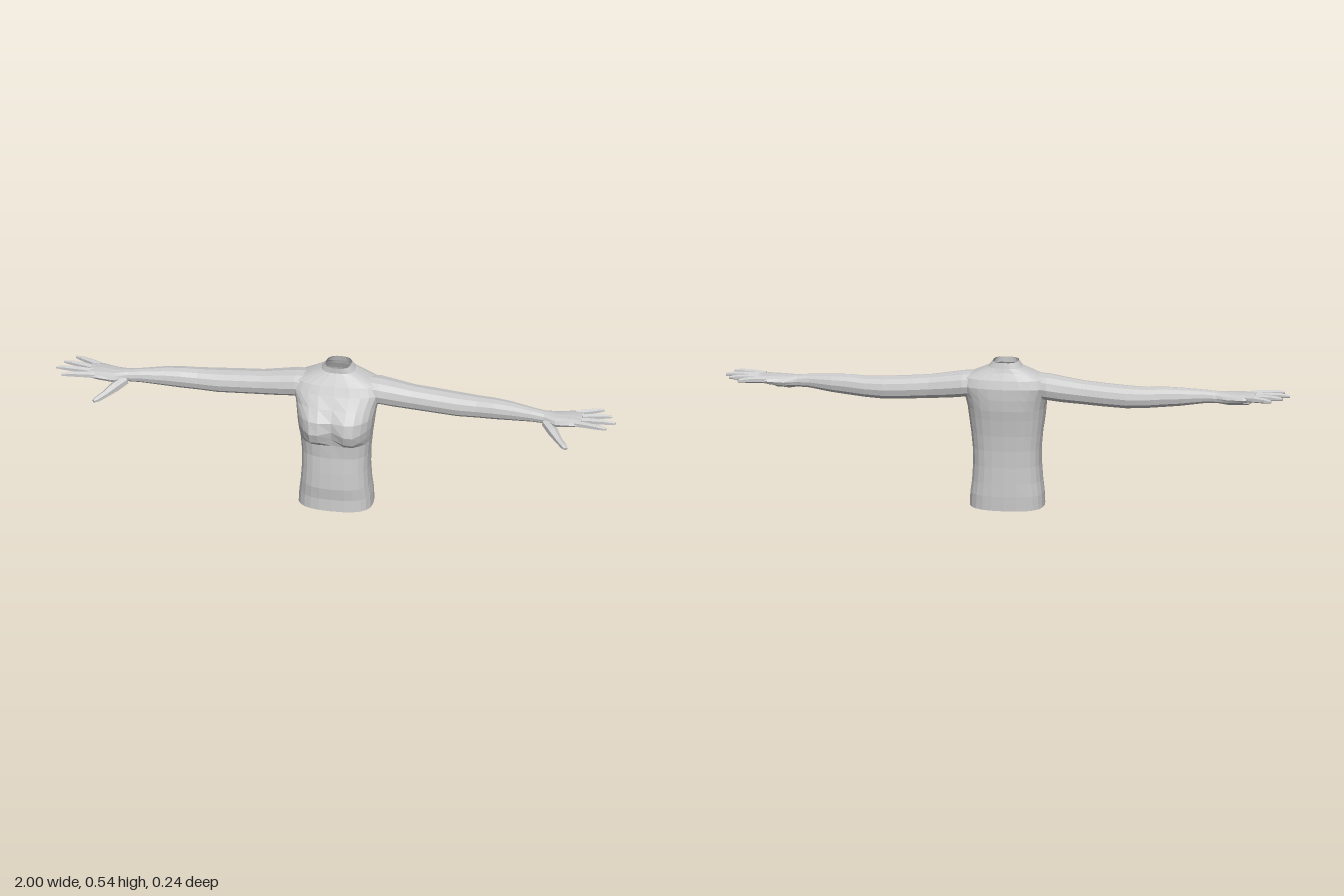
import * as THREE from 'three';

const plaster = new THREE.MeshStandardMaterial({ color: 0xcacaca, side: THREE.DoubleSide });
plaster.name = 'plain grey';

// Faceted skin through a list of rings, with optional fan at the far end
function loft(rings, capEnd) {
  const n = rings[0].length, pos = [], idx = [];
  rings.forEach(r => r.forEach(p => pos.push(p.x, p.y, p.z)));
  for (let i = 0; i < rings.length - 1; i++) {
    for (let j = 0; j < n; j++) {
      const a = i * n + j, b = i * n + (j + 1) % n, c = b + n, d = a + n;
      idx.push(a, d, c, a, c, b);
    }
  }
  if (capEnd) {
    const last = rings[rings.length - 1], o = (rings.length - 1) * n;
    const mid = last.reduce((s, p) => s.add(p), new THREE.Vector3()).divideScalar(n);
    pos.push(mid.x, mid.y, mid.z);
    for (let j = 0; j < n; j++) idx.push(o + j, rings.length * n, o + (j + 1) % n);
  }
  const g = new THREE.BufferGeometry();
  g.setAttribute('position', new THREE.Float32BufferAttribute(pos, 3));
  g.setIndex(idx);
  const flat = g.toNonIndexed();
  flat.computeVertexNormals();
  return flat;
}

function part(name, geometry) {
  const m = new THREE.Mesh(geometry, plaster);
  m.name = name;
  return m;
}

const spow = (v, e) => Math.sign(v) * Math.pow(Math.abs(v), e);

// Torso rings: height, half width, front z, back z, bust depth, bust drop
const TORSO = [
  [0.007, 0.132, 0.088, -0.100, 0, 0],
  [0.055, 0.130, 0.085, -0.101, 0, 0],
  [0.100, 0.124, 0.090, -0.100, 0, 0],
  [0.160, 0.120, 0.086, -0.099, 0, 0],
  [0.220, 0.121, 0.080, -0.100, 0, 0],
  [0.275, 0.126, 0.081, -0.104, 0.002, 0.006],
  [0.305, 0.130, 0.086, -0.108, 0.022, 0.018],
  [0.335, 0.134, 0.092, -0.112, 0.028, 0.012],
  [0.370, 0.138, 0.092, -0.118, 0.018, 0],
  [0.410, 0.146, 0.070, -0.121, 0.006, 0],
  [0.450, 0.162, 0.045, -0.121, 0, 0],
  [0.480, 0.150, 0.027, -0.112, 0, 0],
  [0.505, 0.095, 0.010, -0.100, 0, 0],
  [0.520, 0.060, 0.000, -0.095, 0, 0],
  [0.540, 0.045, 0.000, -0.090, 0, 0],
];

function torsoGeometry() {
  const n = 24;
  const rings = TORSO.map(([y, hw, zf, zb, bust, drop]) => {
    const mid = (zf + zb) / 2, half = (zf - zb) / 2;
    return Array.from({ length: n }, (_, j) => {
      const t = (j / n) * Math.PI * 2, s = Math.sin(t);
      const x = hw * spow(Math.cos(t), 0.78);
      const z = mid + half * spow(s, 0.72);
      // two rounded swellings on the front half only
      const swell = s > 0.1 ? Math.exp(-Math.pow((Math.abs(x) - 0.068) / 0.045, 2)) : 0;
      const hem = y < 0.01 ? 0.004 * s : 0;
      return new THREE.Vector3(x, y - drop * swell + hem, z + bust * swell);
    });
  });
  return loft(rings, false);
}

// Arm rings: x, centre y, centre z, half height, half depth
const ARM = [
  [0.090, 0.452, -0.040, 0.045, 0.052],
  [0.150, 0.448, -0.043, 0.046, 0.058],
  [0.200, 0.441, -0.043, 0.045, 0.053],
  [0.270, 0.433, -0.042, 0.042, 0.047],
  [0.350, 0.427, -0.043, 0.041, 0.047],
  [0.430, 0.422, -0.042, 0.040, 0.046],
  [0.500, 0.422, -0.039, 0.037, 0.041],
  [0.560, 0.425, -0.032, 0.036, 0.038],
  [0.620, 0.426, -0.026, 0.032, 0.034],
  [0.700, 0.427, -0.013, 0.024, 0.026],
  [0.745, 0.425, -0.009, 0.021, 0.025],
  [0.790, 0.424, -0.004, 0.020, 0.042],
  [0.840, 0.428, -0.008, 0.017, 0.049],
  [0.880, 0.431, -0.008, 0.012, 0.047],
];

function armGeometry() {
  const n = 12;
  const rings = ARM.map(([x, y, z, ry, rz]) => Array.from({ length: n }, (_, j) => {
    const t = (j / n) * Math.PI * 2;
    return new THREE.Vector3(x, y + ry * spow(Math.cos(t), 0.9), z - rz * spow(Math.sin(t), 0.9));
  }));
  return loft(rings, true);
}

// Tapered six-sided digit through points of x, y, z, radius
function digitGeometry(points) {
  const n = 6, up = new THREE.Vector3(0, 1, 0);
  const first = new THREE.Vector3(...points[0]);
  const dir = new THREE.Vector3(...points[points.length - 1].slice(0, 3)).sub(first).normalize();
  const side = up.clone().cross(dir).normalize();
  const lift = dir.clone().cross(side);
  const rings = points.map(([x, y, z, r]) => Array.from({ length: n }, (_, j) => {
    const t = (j / n) * Math.PI * 2;
    return new THREE.Vector3(x, y, z)
      .addScaledVector(lift, r * Math.cos(t)).addScaledVector(side, r * Math.sin(t));
  }));
  return loft(rings, true);
}

// Fingers: root x, root z, tip x, tip z
const FINGERS = {
  indexFinger: [0.860, 0.027, 0.975, 0.051],
  middleFinger: [0.865, 0.004, 1.000, 0.004],
  ringFinger: [0.865, -0.020, 0.980, -0.040],
  littleFinger: [0.850, -0.041, 0.945, -0.080],
};

function buildArm(name) {
  const g = new THREE.Group();
  g.name = name;
  g.add(part('armAndPalm', armGeometry()));
  for (const [finger, [x0, z0, x1, z1]] of Object.entries(FINGERS)) {
    const points = [[0, 0.431, 0.0125], [0.35, 0.434, 0.0115], [0.75, 0.435, 0.0095], [1, 0.434, 0.005]]
      .map(([t, y, r]) => [x0 + (x1 - x0) * t, y, z0 + (z1 - z0) * t, r]);
    g.add(part(finger, digitGeometry(points)));
  }
  g.add(part('thumb', digitGeometry([
    [0.752, 0.414, 0.010, 0.017], [0.785, 0.401, 0.046, 0.019],
    [0.812, 0.388, 0.080, 0.013], [0.835, 0.379, 0.104, 0.011], [0.845, 0.376, 0.114, 0.006],
  ])));
  return g;
}

export function createModel() {
  const model = new THREE.Group();
  model.name = 'torsoWithArms';
  model.add(part('torso', torsoGeometry()));
  const left = buildArm('leftArm'), right = buildArm('rightArm');
  right.scale.x = -1;
  model.add(left, right);
  return model;
}
